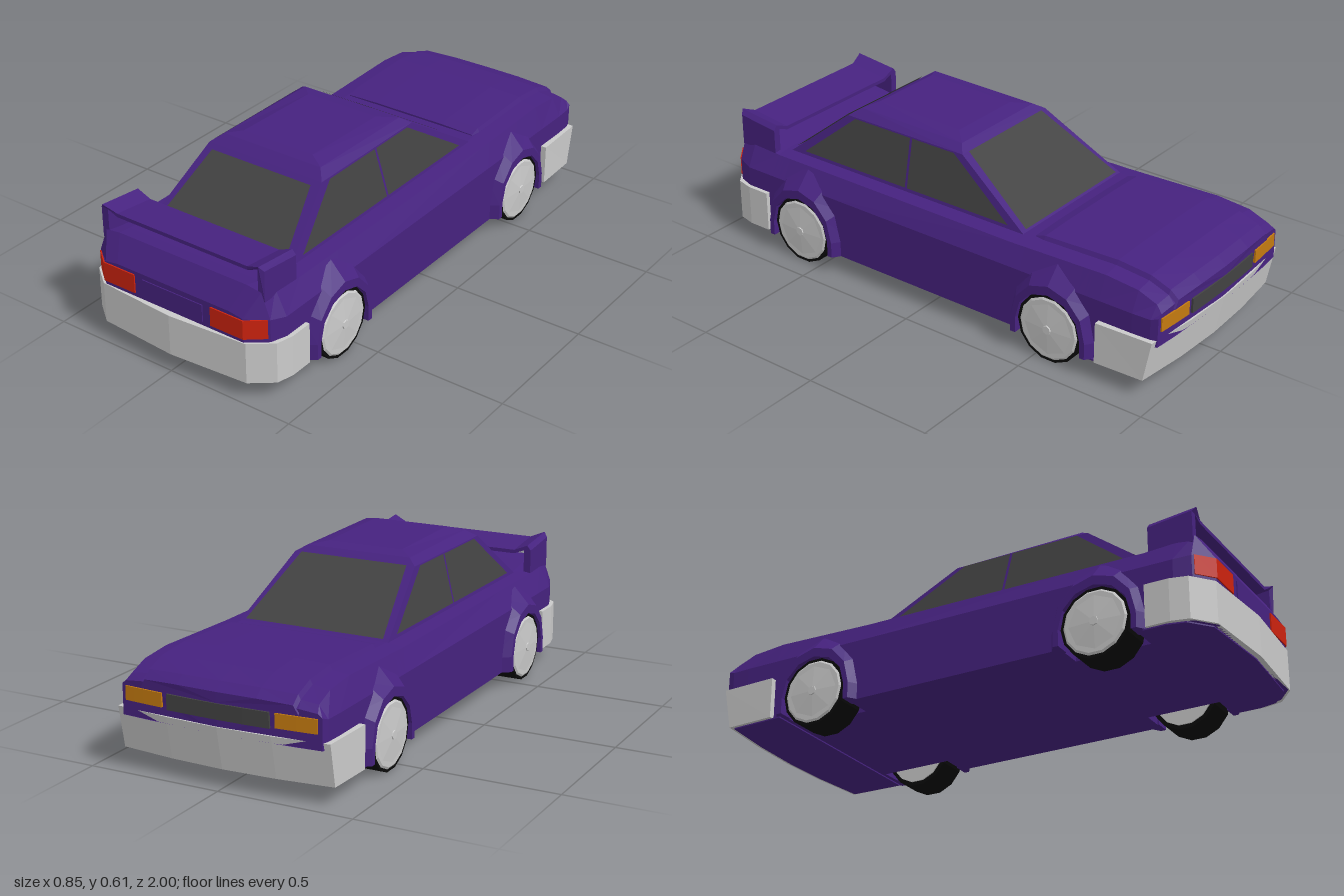
import * as THREE from 'three';

const mat = (name, color) => Object.assign(new THREE.MeshStandardMaterial({ color }), { name });

export function createModel() {
  const paint = mat('purple paint', 0x46227f);
  const trim = mat('light grey', 0xcacaca);
  const glass = mat('dark glass', 0x424242);
  glass.side = THREE.DoubleSide;
  const rubber = mat('black rubber', 0x0a0a0a);
  const red = mat('red lamp', 0xcc220e);
  const amber = mat('amber lamp', 0xc47a10);

  const model = new THREE.Group();
  model.name = 'car';
  const add = (name, geometry, material, parent = model) => {
    const mesh = new THREE.Mesh(geometry, material);
    mesh.name = name;
    parent.add(mesh);
    return mesh;
  };
  const flat = (g) => {
    const out = g.index ? g.toNonIndexed() : g;
    out.computeVertexNormals();
    return out;
  };

  // Flat-shaded skin over closed rings, capped at both ends
  function loft(rings) {
    const pos = [];
    const tri = (...pts) => pts.forEach((p) => pos.push(...p));
    const n = rings[0].length;
    for (let i = 0; i + 1 < rings.length; i++) {
      for (let j = 0; j < n; j++) {
        const k = (j + 1) % n;
        const a = rings[i][j], b = rings[i][k], c = rings[i + 1][k], d = rings[i + 1][j];
        tri(a, d, c);
        tri(a, c, b);
      }
    }
    const first = rings[0], last = rings[rings.length - 1];
    for (let j = 1; j + 1 < n; j++) {
      tri(first[0], first[j], first[j + 1]);
      tri(last[0], last[j + 1], last[j]);
    }
    const g = new THREE.BufferGeometry();
    g.setAttribute('position', new THREE.Float32BufferAttribute(pos, 3));
    return flat(g);
  }

  // Plan outline (x, z) raised from y0 to y1
  function slab(points, y0, y1) {
    const shape = new THREE.Shape(points.map(([x, z]) => new THREE.Vector2(x, -z)));
    return new THREE.ExtrudeGeometry(shape, { depth: y1 - y0, bevelEnabled: false })
      .rotateX(-Math.PI / 2).translate(0, y0, 0);
  }
  const mirrored = (half) => [...half, ...half.filter((p) => p[0] !== 0).reverse().map(([x, ...r]) => [-x, ...r])];

  // The nose is bowed forward in plan
  const bow = (x, z) => z - 0.02 * (1 - (x / 0.39) ** 2) * THREE.MathUtils.clamp((-0.9 - z) / 0.07, 0, 1);
  const ring = (half, z) => mirrored(half).map(([x, y]) => [x, y, bow(x, z)]);

  // Body: z, half width, shoulder height, deck half width, deck height
  const keys = [
    [0.975, 0.30, 0.315, 0.295, 0.325],
    [0.92, 0.37, 0.31, 0.335, 0.41],
    [0.86, 0.39, 0.30, 0.345, 0.398],
    [0.74, 0.39, 0.30, 0.35, 0.382],
    [-0.36, 0.39, 0.30, 0.355, 0.382],
    [-0.75, 0.39, 0.30, 0.355, 0.392],
    [-0.88, 0.39, 0.30, 0.355, 0.38],
    [-0.95, 0.387, 0.30, 0.355, 0.352],
    [-0.975, 0.38, 0.31, 0.365, 0.33],
  ];
  const wheelZ = [0.58, -0.56], axleY = 0.13, archR = 0.14;
  const stations = keys.map((k) => [k[0], k[0] < -0.87 ? 0.2 : 0.07]);
  for (const wz of wheelZ) {
    stations.push([wz + archR + 0.001, 0.07], [wz - archR - 0.001, 0.07]);
    for (let i = 0; i <= 8; i++) {
      const a = (i / 8) * Math.PI;
      stations.push([wz + archR * Math.cos(a), axleY + archR * Math.sin(a)]);
    }
  }
  stations.sort((a, b) => b[0] - a[0]);
  const bodyRings = stations.map(([z, yb]) => {
    let i = 0;
    while (i < keys.length - 2 && z < keys[i + 1][0]) i++;
    const t = (keys[i][0] - z) / (keys[i][0] - keys[i + 1][0]);
    const [, w, ys, top, yt] = keys[i].map((v, c) => THREE.MathUtils.lerp(v, keys[i + 1][c], t));
    return ring([[0, yb], [0.28, yb], [w, yb], [w, ys], [top, yt - 0.008], [top * 0.82, yt], [0, yt]], z);
  });
  add('body', loft(bodyRings), paint);
  add('underbodyCore', new THREE.BoxGeometry(0.56, 0.28, 1.56).translate(0, 0.21, 0), paint);

  // Raised hood panel
  const hood = [[-0.41, 0.39], [-0.45, 0.402], [-0.75, 0.412], [-0.88, 0.4], [-0.95, 0.372], [-0.98, 0.345]];
  add('hood', loft(hood.map(([z, y]) =>
    ring([[0, y - 0.035], [0.3, y - 0.035], [0.282, y - 0.004], [0.15, y], [0, y]], z))), paint);

  // Cabin, from the roof down: y front, y rear, half width, z front, z rear
  const cabin = [
    [0.608, 0.617, 0.15, 0.03, 0.40],
    [0.597, 0.603, 0.21, -0.03, 0.435],
    [0.575, 0.575, 0.245, -0.06, 0.475],
    [0.37, 0.37, 0.30, -0.385, 0.73],
  ];
  add('cabin', loft(cabin.map(([yf, yr, x, zf, zr]) =>
    [[x, yr, zr], [x, yf, zf], [-x, yf, zf], [-x, yr, zr]])), paint);

  // Windows lie just outside the cabin faces
  const at = (y, top, base) => base + ((y - 0.37) / 0.205) * (top - base);
  function pane(name, corners) {
    const g = new THREE.BufferGeometry();
    const pos = [0, 1, 2, 0, 2, 3].flatMap((i) => corners[i]);
    g.setAttribute('position', new THREE.Float32BufferAttribute(pos, 3));
    add(name, flat(g), glass);
  }
  pane('windshield', [[0.275, 0.387], [-0.275, 0.387], [-0.215, 0.574], [0.215, 0.574]]
    .map(([x, y]) => [x, y + 0.004, at(y, -0.06, -0.385) - 0.004]));
  pane('rearWindow', [[-0.27, 0.385], [0.27, 0.385], [0.215, 0.56], [-0.215, 0.56]]
    .map(([x, y]) => [x, y + 0.004, at(y, 0.475, 0.73) + 0.004]));
  for (const s of [1, -1]) {
    const side = ([z, y]) => [s * (at(y, 0.245, 0.30) + 0.004), y, z];
    const order = (pts) => (s > 0 ? pts : pts.reverse());
    pane('rearSideWindow', order([[0.65, 0.395], [0.165, 0.395], [0.175, 0.572], [0.435, 0.572]].map(side)));
    pane('frontSideWindow', order([[0.155, 0.395], [-0.3, 0.395], [-0.025, 0.572], [0.165, 0.572]].map(side)));
  }

  // Bumpers, with painted undersides
  const rearPlan = mirrored([[0, 1], [0.31, 0.978], [0.39, 0.915], [0.406, 0.85], [0.406, 0.76]]);
  const frontPlan = mirrored([[0, -1], [0.2, -0.992], [0.405, -0.97], [0.412, -0.75]]);
  add('rearBumper', slab(rearPlan, 0.07, 0.225), trim);
  const frontBumper = slab(frontPlan, 0.07, 0.225);
  const fp = frontBumper.attributes.position;
  for (let i = 0; i < fp.count; i++) {
    if (fp.getY(i) < 0.1 && fp.getZ(i) < -0.9) fp.setZ(i, fp.getZ(i) + 0.03);
  }
  add('frontBumper', flat(frontBumper), trim);
  add('rearUndertray', slab(rearPlan.map(([x, z]) => [x * 0.97, z * 0.98]), 0.065, 0.071), paint);
  add('frontUndertray', slab(frontPlan.map(([x, z]) => [x * 0.97, z * 0.955]), 0.065, 0.071), paint);

  // Spoiler: wing with raised tips on two side struts
  const wing = new THREE.Shape(mirrored([
    [0, 0.482], [0.28, 0.482], [0.335, 0.505], [0.35, 0.487], [0.35, 0.37], [0.322, 0.37], [0.322, 0.485], [0.28, 0.468], [0, 0.468],
  ]).map(([x, y]) => new THREE.Vector2(x, y)));
  const spoiler = new THREE.ExtrudeGeometry(wing, { depth: 0.165, bevelEnabled: false }).translate(0, 0, 0.755);
  const sp = spoiler.attributes.position;
  for (let i = 0; i < sp.count; i++) {
    if (sp.getY(i) > 0.4) sp.setY(i, sp.getY(i) + (sp.getZ(i) - 0.92) * 0.12);
    if (sp.getY(i) > 0.495 && sp.getZ(i) > 0.9) sp.setZ(i, 0.932);
  }
  add('spoiler', flat(spoiler), paint);

  // Lamps, grille and plate panel
  const nose = (x0, x1) => [
    ...[0, 0.25, 0.5, 0.75, 1].map((t) => x0 + (x1 - x0) * t).map((x) => [x, bow(x, -0.975) - 0.004]),
    [x1, -0.965], [x0, -0.965],
  ];
  add('grille', slab(nose(-0.195, 0.195), 0.25, 0.305), glass);
  for (const s of [1, -1]) {
    const tail = [[0.165, 0.98], [0.302, 0.98], [0.366, 0.928], [0.358, 0.922], [0.298, 0.97], [0.165, 0.97]];
    add('tailLamp', slab(tail.map(([x, z]) => [s * x, z]), 0.24, 0.312), red);
    add('frontLamp', slab(nose(0.215 * s, 0.365 * s), 0.255, 0.305), amber);
  }
  add('platePanel', new THREE.BoxGeometry(0.26, 0.065, 0.006).translate(0, 0.273, 0.976), paint);

  // Flared arches
  const arc = [0, 1, 2, 3, 4, 5, 6].map((i) => (i / 6) * Math.PI);
  const flareProfile = [[0.36, 0.135, 0.135], [0.42, 0.135, 0.135], [0.42, 0.155, 0.17], [0.36, 0.195, 0.235]];
  const flare = loft([
    flareProfile.map(([x, r]) => [x, -0.06, r]),
    ...arc.map((a) => flareProfile.map(([x, rz, ry]) => [x, ry * Math.sin(a), rz * Math.cos(a)])),
    flareProfile.map(([x, r]) => [x, -0.06, -r]),
  ]);

  // Wheels: tyre, shallow faceted disc on both faces, hub cap
  const cyl = (r0, r1, h, n, x) => flat(new THREE.CylinderGeometry(r0, r1, h, n).rotateZ(-Math.PI / 2).translate(x, 0, 0));
  for (const s of [1, -1]) {
    for (const z of wheelZ) {
      const corner = new THREE.Group();
      corner.name = 'wheel';
      corner.position.set(0, axleY, z);
      corner.scale.x = s;
      model.add(corner);
      add('archFlare', flare, paint, corner);
      add('tyre', cyl(0.13, 0.13, 0.118, 14, 0.35), rubber, corner);
      add('wheelDisc', cyl(0.112, 0.121, 0.006, 14, 0.411), trim, corner);
      add('wheelFace', cyl(0.006, 0.112, 0.008, 8, 0.417), trim, corner);
      add('innerDisc', cyl(0.115, 0.115, 0.006, 14, 0.289), trim, corner);
      add('hubCap', cyl(0.016, 0.02, 0.012, 8, 0.418), trim, corner);
    }
  }
  return model;
}
